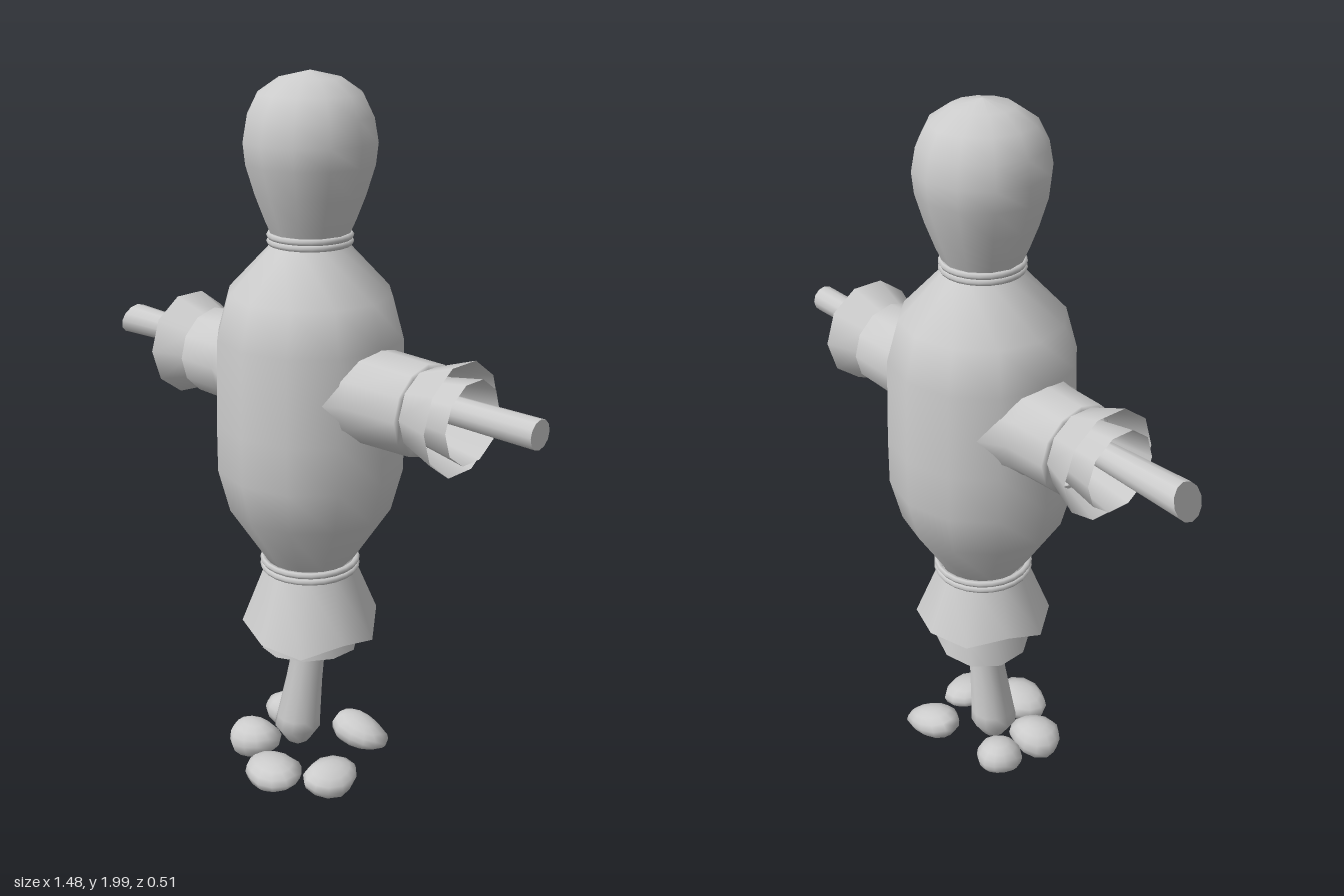
import * as THREE from 'three';

const grey = new THREE.MeshStandardMaterial({ color: 0xcccccc });
const cloth = new THREE.MeshStandardMaterial({ color: 0xcccccc, side: THREE.DoubleSide });

function add(parent, name, geometry, material = grey) {
  const mesh = new THREE.Mesh(geometry, material);
  mesh.name = name;
  parent.add(mesh);
  return mesh;
}

// Turned shape from [radius, height] pairs, listed bottom to top
const turned = (profile, sides = 12) =>
  new THREE.LatheGeometry(profile.map(([r, y]) => new THREE.Vector2(r, y)), sides);

// Move every vertex by a rule
function reshape(geometry, rule) {
  const p = geometry.attributes.position;
  const v = new THREE.Vector3();
  for (let i = 0; i < p.count; i++) {
    v.fromBufferAttribute(p, i);
    rule(v);
    p.setXYZ(i, v.x, v.y, v.z);
  }
  return geometry;
}

// Recompute normals but keep the lathe seam (first and last columns) smooth
function smoothSeam(geometry, rows, sides) {
  geometry.computeVertexNormals();
  const n = geometry.attributes.normal;
  const a = new THREE.Vector3(), b = new THREE.Vector3();
  for (let j = 0; j < rows; j++) {
    const k = sides * rows + j;
    a.fromBufferAttribute(n, j).add(b.fromBufferAttribute(n, k)).normalize();
    n.setXYZ(j, a.x, a.y, a.z);
    n.setXYZ(k, a.x, a.y, a.z);
  }
  return geometry;
}

// Pair of cord loops tied around the cloth
function addCords(parent, name, radius, heights) {
  for (const y of heights) {
    const cord = add(parent, name, new THREE.TorusGeometry(radius, 0.009, 6, 24));
    cord.rotation.x = Math.PI / 2;
    cord.position.y = y;
  }
}

// Arm pointing along +x; end = x of the sleeve's end
function createArm(name, end, cuffEnd, liningEnd, stick) {
  const arm = new THREE.Group();
  arm.name = name;
  const alongX = (profile, sides) => turned(profile, sides).rotateZ(-Math.PI / 2);

  // Sleeve spreads sideways into the chest
  const profile = [[0.15, 0.1], [0.135, 0.17], [0.125, 0.24], [0.121, end], [0.1, end]];
  const sleeve = reshape(alongX(profile, 12), (v) => {
    v.z *= 1.05 + 0.42 * THREE.MathUtils.clamp((0.24 - v.x) / 0.14, 0, 1);
  });
  add(arm, 'sleeve', smoothSeam(sleeve, profile.length, 12), cloth).position.y = 1.21;

  const cuff = add(arm, 'cuff', alongX([[0.105, end - 0.01], [0.147, cuffEnd]], 10), cloth);
  cuff.position.y = 1.213;
  const lining = add(arm, 'cuffLining', alongX([[0.085, end], [0.108, liningEnd]], 10), cloth);
  lining.position.y = 1.213;

  // Wooden stick, its end cut at an angle when slant is set
  const length = stick.tip - 0.2;
  const wood = new THREE.CylinderGeometry(stick.r1, stick.r0, length, 12)
    .rotateZ(-Math.PI / 2).translate(0.2 + length / 2, 0, 0);
  reshape(wood, (v) => { if (v.x > stick.tip - 0.01) v.x -= stick.slant * v.y; });
  add(arm, 'armStick', wood).position.y = stick.y;
  return arm;
}

export function createModel() {
  const model = new THREE.Group();
  model.name = 'scarecrow';
  const figure = new THREE.Group();
  figure.name = 'figure';
  figure.position.x = 0.005;
  model.add(figure);

  // Sack head
  add(figure, 'head', turned([
    [0.1, 1.59], [0.12, 1.635], [0.145, 1.7], [0.168, 1.775], [0.174, 1.83],
    [0.163, 1.89], [0.135, 1.945], [0.08, 1.982], [0, 2.0],
  ]));
  addCords(figure, 'neckCord', 0.104, [1.593, 1.577]);

  // Stuffed body
  add(figure, 'body', turned([
    [0.1, 0.67], [0.125, 0.695], [0.225, 0.85], [0.256, 0.97], [0.256, 1.1],
    [0.25, 1.33], [0.218, 1.445], [0.1, 1.57], [0.095, 1.595],
  ]));
  addCords(figure, 'waistCord', 0.13, [0.686, 0.667]);

  // Skirt and the layer below it, with uneven hems
  add(figure, 'skirt', reshape(turned([[0.193, 0.495], [0.122, 0.68]], 10), (v) => {
    if (v.y < 0.6) v.y -= 0.085 * (v.x + v.z) - 0.02 * Math.sin(4 * Math.atan2(v.z, v.x));
  }), cloth);
  add(figure, 'underskirt', reshape(turned([[0.137, 0.41], [0.105, 0.62]], 10), (v) => {
    if (v.y < 0.5) v.y += 0.1 * v.x + 0.06 * v.z;
  }), cloth);

  // Leaning post, blunt at the foot
  const post = [[0, 0.05], [0.035, 0.075], [0.068, 0.125], [0.064, 0.16], [0.053, 0.29],
    [0.046, 0.42], [0.046, 0.64]];
  add(figure, 'post', reshape(turned(post), (v) => {
    v.x -= 0.17 * THREE.MathUtils.clamp(0.42 - v.y, 0, 0.29);
  }));

  // Arms, the right one shorter and with a slanted stick
  model.add(createArm('leftArm', 0.403, 0.512, 0.545,
    { tip: 0.737, r0: 0.034, r1: 0.038, y: 1.232, slant: 0 }));
  const rightArm = createArm('rightArm', 0.365, 0.467, 0.507,
    { tip: 0.722, r0: 0.027, r1: 0.045, y: 1.234, slant: 0.41 });
  rightArm.rotation.y = Math.PI;
  model.add(rightArm);

  // Stones around the foot: position, half sizes, turn about y, tilt about z
  const stones = [
    [-0.145, 0.068, 0.08, 0.08, 0.056, 0.068, 0.3, 0.1],
    [-0.16, 0.092, -0.075, 0.062, 0.052, 0.07, -0.4, -0.15],
    [0.02, 0.06, 0.165, 0.088, 0.048, 0.073, 0.1, 0.1],
    [0.148, 0.06, 0.065, 0.068, 0.044, 0.08, -0.3, -0.2],
    [0.085, 0.095, -0.13, 0.09, 0.046, 0.062, 0.2, -0.25],
  ];
  const pile = new THREE.Group();
  pile.name = 'stones';
  model.add(pile);
  stones.forEach(([x, y, z, a, b, c, turn, tilt], i) => {
    const lump = reshape(new THREE.SphereGeometry(1, 12, 8), (v) => {
      const k = 1 + 0.07 * Math.sin(2.3 * v.x + 3.1 * v.z + i * 1.7);
      v.set(v.x * a * k, v.y * b * (1 + 0.25 * v.x * (i % 2 ? 1 : -1)), v.z * c * k);
    });
    const stone = add(pile, 'stone', smoothSeamSphere(lump));
    stone.position.set(x, y, z);
    stone.rotation.set(0, turn, tilt);
  });
  return model;
}

// Smooth normals for a stone, taken from its rounded shape
function smoothSeamSphere(geometry) {
  geometry.computeBoundingBox();
  const s = geometry.boundingBox.getSize(new THREE.Vector3());
  const p = geometry.attributes.position, n = geometry.attributes.normal;
  const v = new THREE.Vector3();
  for (let i = 0; i < p.count; i++) {
    v.fromBufferAttribute(p, i).divide(s).divide(s).normalize();
    n.setXYZ(i, v.x, v.y, v.z);
  }
  return geometry;
}
